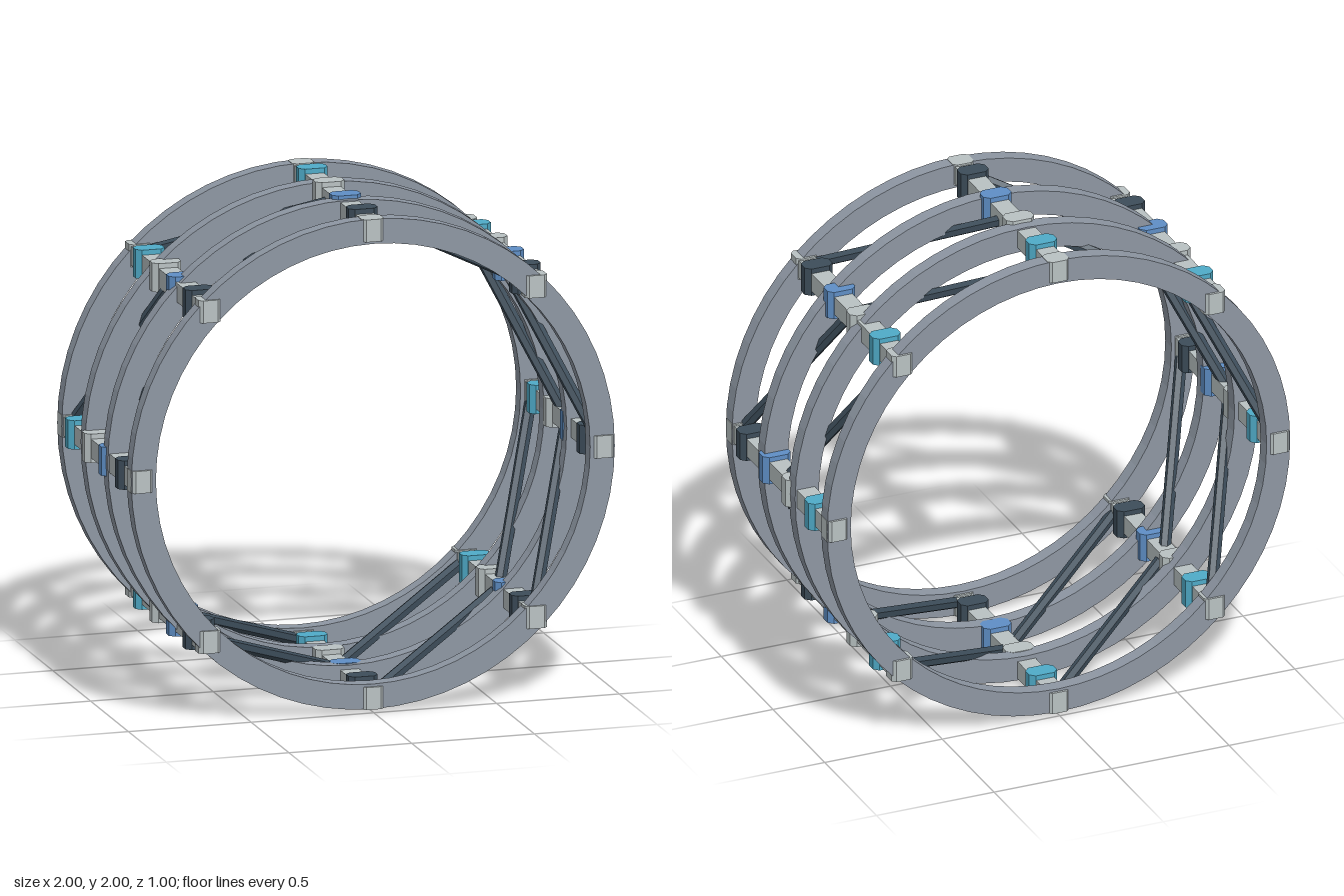
import * as THREE from 'three';

const mat = (name, color) => {
  const m = new THREE.MeshStandardMaterial({ color });
  m.name = name;
  return m;
};

// Block with its four upright edges chamfered, centred on the origin
function chamferedBlock(width, height, depth, c) {
  const w = width / 2, d = depth / 2;
  const outline = [[-w + c, -d], [w - c, -d], [w, -d + c], [w, d - c], [w - c, d], [-w + c, d], [-w, d - c], [-w, -d + c]];
  const shape = new THREE.Shape(outline.map(([x, y]) => new THREE.Vector2(x, y)));
  return new THREE.ExtrudeGeometry(shape, { depth: height, bevelEnabled: false })
    .translate(0, 0, -height / 2)
    .rotateX(-Math.PI / 2);
}

// Flat hoop with a rectangular section
function hoop(outer, inner, depth) {
  const shape = new THREE.Shape().absarc(0, 0, outer, 0, Math.PI * 2);
  shape.holes.push(new THREE.Path().absarc(0, 0, inner, 0, Math.PI * 2, true));
  return new THREE.ExtrudeGeometry(shape, { depth, bevelEnabled: false, curveSegments: 32 })
    .translate(0, 0, -depth / 2);
}

export function createModel() {
  const group = new THREE.Group();
  const ringGrey = mat('ring grey', 0x8e97a3);
  const paleGrey = mat('pale grey', 0xb9c2c3);
  const slate = mat('dark slate', 0x3d4d5a);
  const blue = mat('blue', 0x5f8fc6);
  const cyan = mat('cyan', 0x4fabc8);
  slate.flatShading = true;

  const R = 0.94, COUNT = 8, CENTRE = 1;
  const add = (name, geometry, material, x, y, z) => {
    const mesh = new THREE.Mesh(geometry, material);
    mesh.name = name;
    mesh.position.set(x, y, z);
    group.add(mesh);
    return mesh;
  };
  const around = (i, z) => {
    const a = (i / COUNT) * Math.PI * 2;
    return new THREE.Vector3(R * Math.cos(a), CENTRE + R * Math.sin(a), z);
  };

  // Four hoops
  const hoopGeo = hoop(0.985, 0.885, 0.06);
  for (const z of [-0.46, -0.15, 0.15, 0.46]) add('ring', hoopGeo, ringGrey, 0, CENTRE, z);

  const railGeo = new THREE.BoxGeometry(0.076, 0.076, 0.96);
  const endGeo = chamferedBlock(0.09, 0.09, 0.08, 0.015);
  const moduleGeo = chamferedBlock(0.118, 0.116, 0.077, 0.02);
  const modules = [
    ['slateModule', slate, 0.34],
    ['blueModule', blue, 0.12],
    ['paleModule', paleGrey, -0.1],
    ['cyanModule', cyan, -0.32],
  ];

  // Braces run one bay round and half the length back
  const brace = (from, to) => {
    const geo = new THREE.CylinderGeometry(0.024, 0.024, from.distanceTo(to), 6);
    const mid = from.clone().add(to).multiplyScalar(0.5);
    const mesh = add('brace', geo, slate, mid.x, mid.y, mid.z);
    mesh.quaternion.setFromUnitVectors(new THREE.Vector3(0, 1, 0), to.clone().sub(from).normalize());
  };

  for (let i = 0; i < COUNT; i++) {
    const p = around(i, 0);
    add('rail', railGeo, paleGrey, p.x, p.y, 0);
    for (const z of [-0.46, 0.46]) add('railEnd', endGeo, paleGrey, p.x, p.y, z);
    for (const [name, material, z] of modules) add(name, moduleGeo, material, p.x, p.y, z);
    brace(around(i, 0.45), around(i + 1, 0));
    brace(around(i, 0), around(i + 1, -0.45));
  }
  return group;
}
